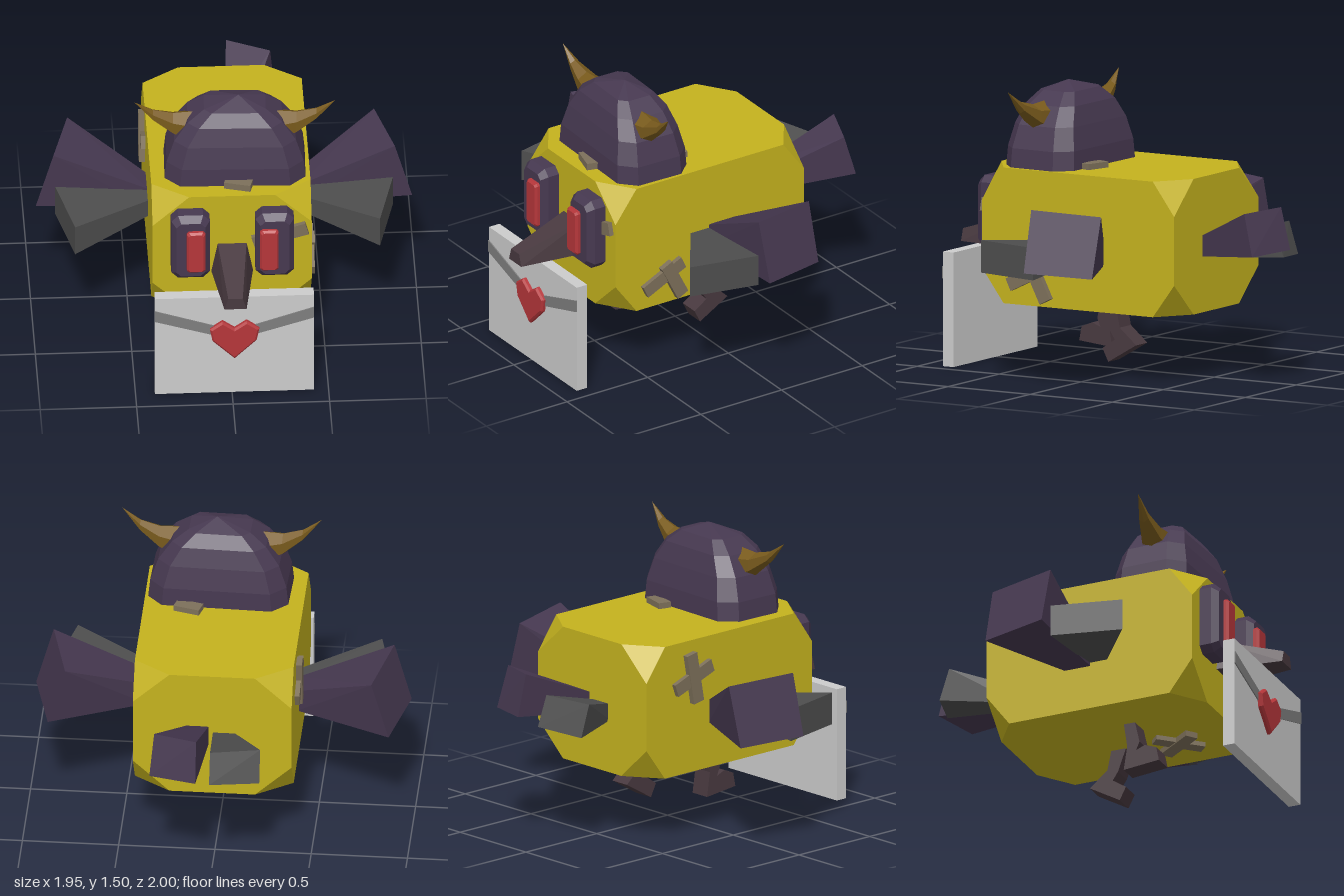
import * as THREE from 'three';
import { ConvexGeometry } from 'three/addons/geometries/ConvexGeometry.js';

const paint = (color) => new THREE.MeshStandardMaterial({ color, flatShading: true });
const V = (x, y, z) => new THREE.Vector3(x, y, z);

export function createModel() {
  const model = new THREE.Group();
  const yellow = paint(0xc4b21e), plum = paint(0x463850), slate = paint(0x4e4e4e);
  const red = paint(0xb5363a), horn = paint(0x785a1c), beakBrown = paint(0x48393f);
  const tape = paint(0x7d705a), paper = paint(0xcccccc), fold = paint(0x7e7e7e);

  const add = (name, geometry, material, parent = model) => {
    const mesh = new THREE.Mesh(geometry, material);
    mesh.name = name;
    parent.add(mesh);
    return mesh;
  };
  // solid hull around [x, y, z] corners; mirror = -1 flips x
  const hull = (name, pts, material, mirror = 1) =>
    add(name, new ConvexGeometry(pts.map(([x, y, z]) => V(x * mirror, y, z))), material);
  // rectangle with half sizes a, b and corners cut by c
  const octagon = (a, b, c) => [
    [a, b - c], [a - c, b], [c - a, b], [-a, b - c],
    [-a, c - b], [c - a, -b], [a - c, -b], [a, c - b]];
  const extrude = (pts, depth, bevel = 0) => new THREE.ExtrudeGeometry(
    new THREE.Shape(pts.map(([x, y]) => new THREE.Vector2(x, y))),
    { depth, bevelEnabled: bevel > 0, bevelSize: bevel, bevelThickness: bevel, bevelSegments: 1 });

  // body: block with all eight corners cut off
  const body = [];
  for (const sx of [-1, 1]) for (const sy of [-1, 1]) for (const sz of [-1, 1]) {
    const x = 0.0125 + sx * 0.4125, y = 0.715 + sy * 0.355, z = 0.065 + sz * 0.585;
    body.push([x - sx * 0.19, y, z], [x, y - sy * 0.175, z], [x, y, z - sz * 0.13]);
  }
  hull('body', body, yellow);

  // helmet: stacked cut-corner rings, with curved horns
  const helmet = new THREE.Group();
  helmet.name = 'helmet';
  helmet.position.set(0.04, 1.07, 0.35);
  helmet.rotation.y = -0.03;
  model.add(helmet);
  const dome = [V(0.02, 0.43, 0)];
  for (const [y, a, b] of [[0, 0.365, 0.21], [0.1, 0.355, 0.205], [0.22, 0.315, 0.18],
    [0.32, 0.245, 0.15], [0.385, 0.16, 0.105]])
    for (const [x, z] of octagon(a, b, b * 0.38)) dome.push(V(x, y, z));
  add('helmetDome', new ConvexGeometry(dome), plum, helmet);
  for (const s of [-1, 1]) {
    const curve = new THREE.QuadraticBezierCurve3(
      V(s * 0.21, 0.25, 0.02), V(s * 0.38, 0.26, 0.02), V(s * 0.52, 0.42, 0.045));
    const geo = new THREE.ConeGeometry(0.092, 1, 6, 3);
    const p = geo.attributes.position;
    for (let i = 0; i < p.count; i++) {
      const c = curve.getPoint(Math.min(1, Math.max(0, p.getY(i) + 0.5)));
      p.setXYZ(i, c.x, c.y + p.getZ(i), c.z + s * p.getX(i));
    }
    geo.computeVertexNormals();
    add(s > 0 ? 'leftHorn' : 'rightHorn', geo, horn, helmet);
  }

  // eyes: dark bevelled plates with red slabs
  const plate = (name, cx, cy, rings, material) => hull(name, rings.flatMap(([z, a, b, c]) =>
    octagon(a, b, c).map(([x, y]) => [cx + x, cy + y, z])), material);
  for (const s of [-1, 1]) {
    const side = s > 0 ? 'left' : 'right';
    plate(side + 'EyePlate', 0.012 + s * 0.218, 0.805,
      [[0.62, 0.1, 0.195, 0.035], [0.715, 0.1, 0.195, 0.035], [0.75, 0.075, 0.165, 0.025]], plum);
    plate(side + 'Eye', 0.01 + s * 0.19, 0.8,
      [[0.73, 0.048, 0.125, 0.012], [0.765, 0.048, 0.125, 0.012], [0.777, 0.038, 0.115, 0.01]], red);
  }

  // beak
  hull('beak', [[-0.1, 0.6, 0.62], [0.125, 0.6, 0.62], [0.09, 0.78, 0.62], [-0.065, 0.78, 0.62],
    [-0.045, 0.6, 1], [0.07, 0.6, 1], [0.05, 0.665, 1], [-0.025, 0.665, 1]], beakBrown);

  // wings: a raised rear feather and a flat front feather on each side
  for (const s of [-1, 1]) {
    const side = s > 0 ? 'left' : 'right';
    hull(side + 'RearFeather', [
      [0.39, 0.6, -0.07], [0.39, 0.72, -0.07], [0.39, 0.6, 0.07], [0.39, 0.72, 0.07],
      [0.885, 0.945, 0.065], [0.795, 0.925, -0.305], [0.885, 0.61, -0.305], [0.975, 0.625, 0.055]], plum, s);
    hull(side + 'FrontFeather', [
      [0.39, 0.62, 0.06], [0.39, 0.715, 0.06], [0.39, 0.62, 0.16], [0.39, 0.715, 0.16],
      [0.875, 0.575, 0.06], [0.875, 0.745, 0.06], [0.79, 0.575, 0.43], [0.79, 0.745, 0.43]], slate, s);
  }

  // tail feathers
  hull('tailFeatherLarge', [
    [0.03, 0.65, -0.49], [0.03, 0.75, -0.49], [0.135, 0.65, -0.49], [0.135, 0.75, -0.49],
    [0.06, 0.935, -0.945], [0.285, 0.92, -0.86], [0.305, 0.7, -0.92], [0.06, 0.715, -1]], plum);
  hull('tailFeatherSmall', [
    [-0.09, 0.63, -0.49], [-0.09, 0.72, -0.49], [0.01, 0.63, -0.49], [0.01, 0.72, -0.49],
    [-0.005, 0.82, -0.86], [-0.26, 0.81, -0.795], [-0.26, 0.64, -0.85], [-0.005, 0.66, -0.92]], slate);

  // feet: side profiles as [z, y]
  const foot = (name, x, profile) => {
    const geo = extrude(profile, 0.11);
    geo.translate(0, 0, -0.055).rotateY(-Math.PI / 2);
    add(name, geo, beakBrown).position.x = x;
  };
  foot('rightFoot', -0.09, [[0.2, 0.4], [0.235, 0.245], [0.215, 0.2], [0.265, 0.22],
    [0.33, 0.195], [0.345, 0.12], [0.145, 0.1], [0.165, 0.23], [0.14, 0.4]]);
  foot('leftFoot', 0.18, [[0.05, 0.4], [-0.01, 0.235], [-0.04, 0.19], [0.035, 0.14],
    [0, 0.07], [-0.17, 0.17], [-0.07, 0.255], [-0.04, 0.4]]);

  // letter with folded flap and heart seal
  add('letter', new THREE.BoxGeometry(0.825, 0.6, 0.065), paper).position.set(0.0125, 0.3, 0.8575);
  add('letterFlap', extrude([[-0.4, 0.525], [-0.4, 0.46], [-0.11, 0.37], [0.0125, 0.32],
    [0.135, 0.37], [0.425, 0.46], [0.425, 0.525], [0.135, 0.43], [0.0125, 0.39], [-0.11, 0.43]],
  0.006), fold).position.z = 0.89;
  add('heartSeal', extrude([[-0.105, 0.405], [-0.05, 0.445], [0.0125, 0.4], [0.075, 0.445],
    [0.13, 0.405], [0.118, 0.342], [0.0125, 0.238], [-0.093, 0.342]], 0.016, 0.01), red).position.z = 0.89;

  // sticking plasters: strips lying on a face, each [length, angle, offsetX, offsetY]
  const plaster = (name, pos, rot, strips) => {
    const g = new THREE.Group();
    g.name = name;
    g.position.set(...pos);
    g.rotation.set(...rot);
    strips.forEach(([length, angle, ox, oy], i) => {
      const m = add('strip', new THREE.BoxGeometry(length, 0.07, 0.04 + i * 0.012), tape, g);
      m.position.set(ox, oy, 0.005);
      m.rotation.z = angle;
    });
    model.add(g);
  };
  const q = Math.PI / 2;
  plaster('leftPlaster', [0.425, 0.5, 0.35], [0, q, 0], [[0.26, 0.45, -0.01, 0.02], [0.22, -1.1, 0.05, -0.01]]);
  plaster('rightPlaster', [-0.4, 0.87, -0.2], [0, -q, 0], [[0.27, 0.35, 0, 0], [0.27, 1.75, 0, 0]]);
  plaster('bottomPlaster', [0.16, 0.36, 0.32], [q, 0, 0], [[0.27, 0.8, 0, 0], [0.27, 2.2, 0, 0]]);
  plaster('facePlaster', [0.26, 0.825, 0.65], [0, 0, 0], [[0.29, 0.28, 0, 0]]);
  plaster('topPlaster', [0.12, 1.07, 0.345], [-q, 0, 0], [[0.53, 1.3, 0, 0], [0.14, -0.27, 0.07, 0.23], [0.14, -0.27, -0.07, -0.22]]);

  return model;
}
